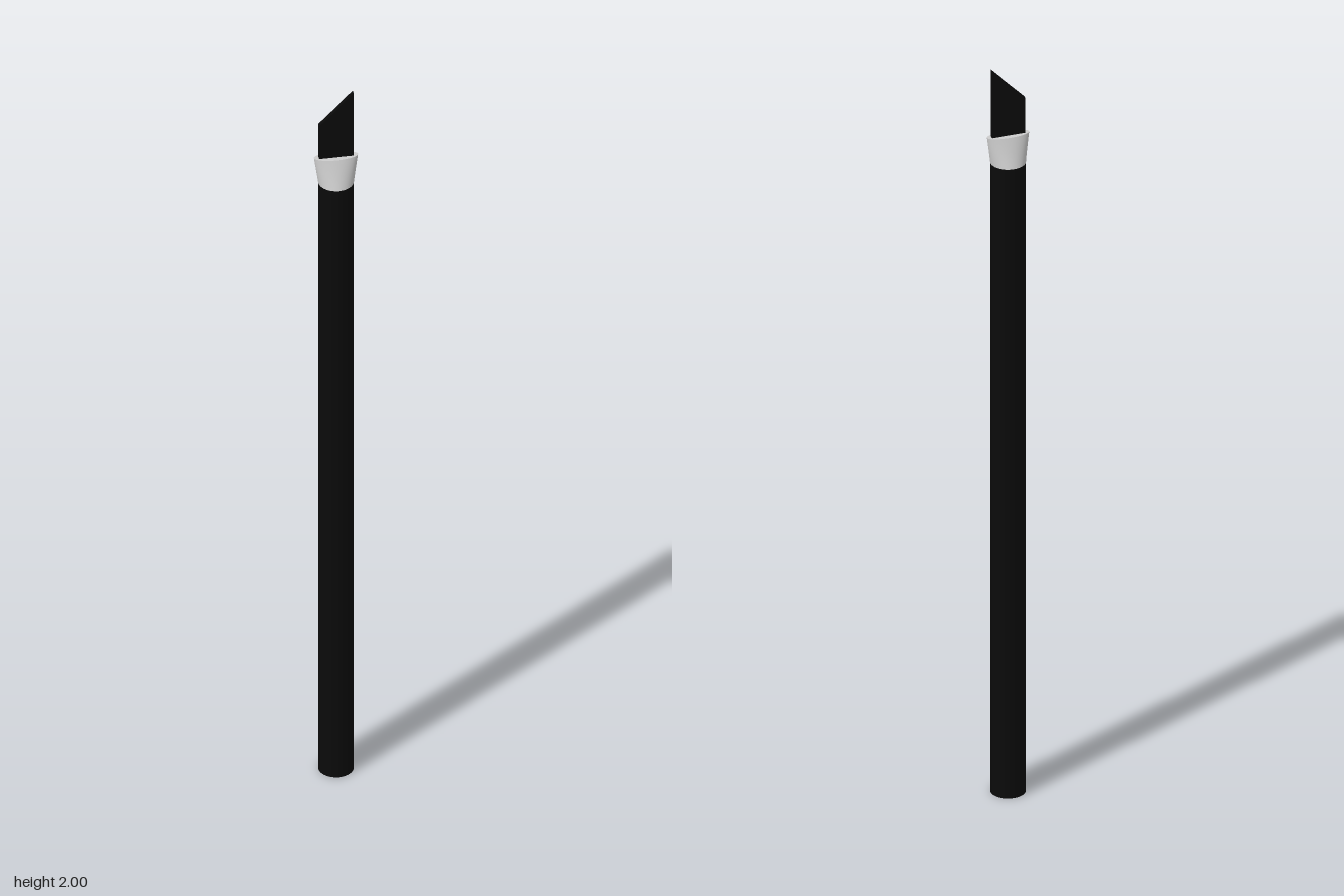
import * as THREE from 'three';

const R = 0.045, HANDLE_TOP = 1.74, COLLAR_TOP = 1.815;

function addPart(group, name, geometry, color) {
  const mesh = new THREE.Mesh(geometry, new THREE.MeshStandardMaterial({ color }));
  mesh.name = name;
  group.add(mesh);
}

// Collar: a cylinder whose round base is lofted into a wide, thin oval mouth
function collarGeometry() {
  const height = COLLAR_TOP - HANDLE_TOP;
  const geo = new THREE.CylinderGeometry(R, R, height, 48, 4);
  const pos = geo.attributes.position;
  for (let i = 0; i < pos.count; i++) {
    const t = pos.getY(i) / height + 0.5;
    pos.setX(i, pos.getX(i) * THREE.MathUtils.lerp(1, 0.056 / R, t));
    pos.setZ(i, pos.getZ(i) * THREE.MathUtils.lerp(1, 0.02 / R, t));
  }
  geo.translate(0, (HANDLE_TOP + COLLAR_TOP) / 2, 0);
  // Keep the seam smooth: side normals follow the loft, caps stay flat
  const caps = geo.attributes.normal.clone();
  geo.computeVertexNormals();
  const normal = geo.attributes.normal;
  for (let i = 0; i < normal.count; i++) {
    if (Math.abs(caps.getY(i)) > 0.9) normal.setXYZ(i, 0, caps.getY(i), 0);
    else if (i % 49 === 0 || i % 49 === 48) normal.setX(i, 0);
  }
  normal.needsUpdate = true;
  return geo;
}

// Blade: a thin flat strip cut off at a slant, its point on the +x side
function bladeGeometry() {
  const shape = new THREE.Shape([
    new THREE.Vector2(-0.044, 1.75),
    new THREE.Vector2(0.044, 1.75),
    new THREE.Vector2(0.044, 2),
    new THREE.Vector2(-0.044, 1.912),
  ]);
  const geo = new THREE.ExtrudeGeometry(shape, { depth: 0.012, bevelEnabled: false });
  return geo.translate(0, 0, -0.006);
}

export function createModel() {
  const knife = new THREE.Group();
  knife.name = 'craftKnife';
  const handle = new THREE.CylinderGeometry(R, R, HANDLE_TOP, 48);
  addPart(knife, 'handle', handle.translate(0, HANDLE_TOP / 2, 0), 0x0a0a0a);
  addPart(knife, 'collar', collarGeometry(), 0xcccccc);
  addPart(knife, 'blade', bladeGeometry(), 0x0a0a0a);
  return knife;
}
